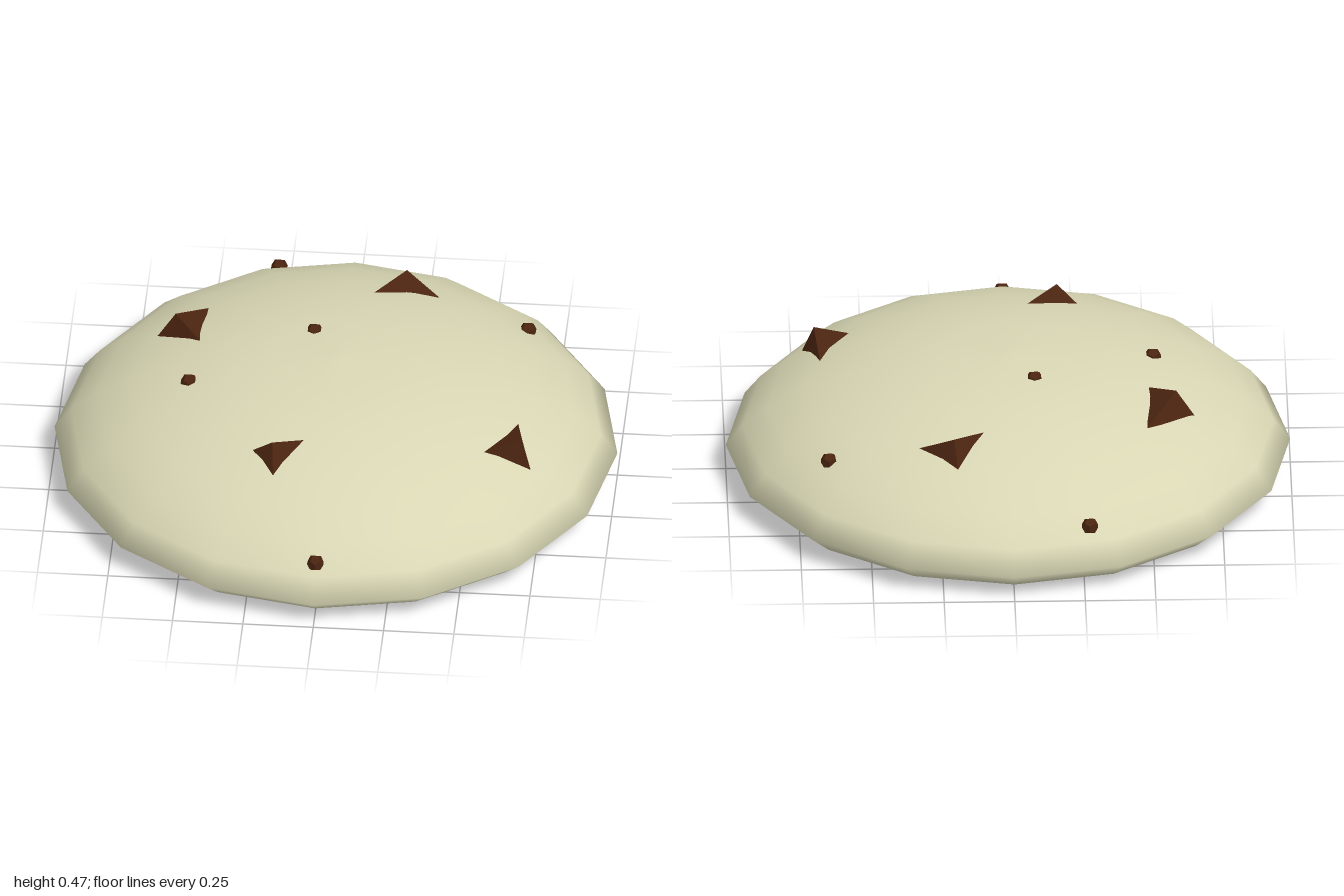
import * as THREE from 'three';
import { ConvexGeometry } from 'three/addons/geometries/ConvexGeometry.js';

const V = (p) => new THREE.Vector3(...p);

export function createModel() {
  const dough = new THREE.MeshStandardMaterial({ color: 0xd8d6b3 });
  dough.name = 'pale dough';
  const chocolate = new THREE.MeshStandardMaterial({ color: 0x4a2410, flatShading: true });
  chocolate.name = 'dark chocolate';

  const model = new THREE.Group();
  model.name = 'cookie';
  const add = (geometry, material, name) => {
    const mesh = new THREE.Mesh(geometry, material);
    mesh.name = name;
    model.add(mesh);
    return mesh;
  };

  // Domed body: sixteen-sided, smooth, flat underneath
  const profile = [
    [0, 0], [0.64, 0], [0.92, 0.025], [1, 0.095], [0.94, 0.175], [0.85, 0.255],
    [0.72, 0.325], [0.57, 0.38], [0.4, 0.424], [0.22, 0.45], [0, 0.46],
  ].map(([r, y]) => new THREE.Vector2(r, y));
  add(new THREE.LatheGeometry(profile, 16), dough, 'cookieBody');

  // Large chips: a tip and the three corners where it meets the dough
  const chips = [
    [[-0.59, 0.432, -0.25], [-0.652, 0.335, -0.249], [-0.492, 0.365, -0.382], [-0.503, 0.395, -0.158]],
    [[0.205, 0.427, -0.585], [0.193, 0.345, -0.639], [0.326, 0.36, -0.52], [0.102, 0.4, -0.484]],
    [[-0.185, 0.447, 0.515], [-0.251, 0.39, 0.484], [-0.08, 0.41, 0.441], [-0.176, 0.36, 0.591]],
    [[0.68, 0.378, 0.345], [0.663, 0.335, 0.184], [0.556, 0.34, 0.366], [0.722, 0.27, 0.366]],
  ];
  chips.forEach(([tip, ...corners], i) => {
    const top = V(tip);
    // Run the edges a little further so the base sits inside the dough
    const base = corners.map((c) => V(c).sub(top).multiplyScalar(1.08).add(top));
    add(new ConvexGeometry([top, ...base]), chocolate, `chocolateChip${i + 1}`);
  });

  // Small crumbs half sunk in the dough
  const crumbs = [
    [-0.27, 0.22, -0.85], [0.645, 0.28, -0.46], [-0.09, 0.442, -0.17],
    [-0.515, 0.385, 0.09], [0, 0.21, 0.9],
  ];
  crumbs.forEach((p, i) => {
    const crumb = add(new THREE.DodecahedronGeometry(0.031), chocolate, `chocolateCrumb${i + 1}`);
    crumb.position.set(...p);
  });

  return model;
}
